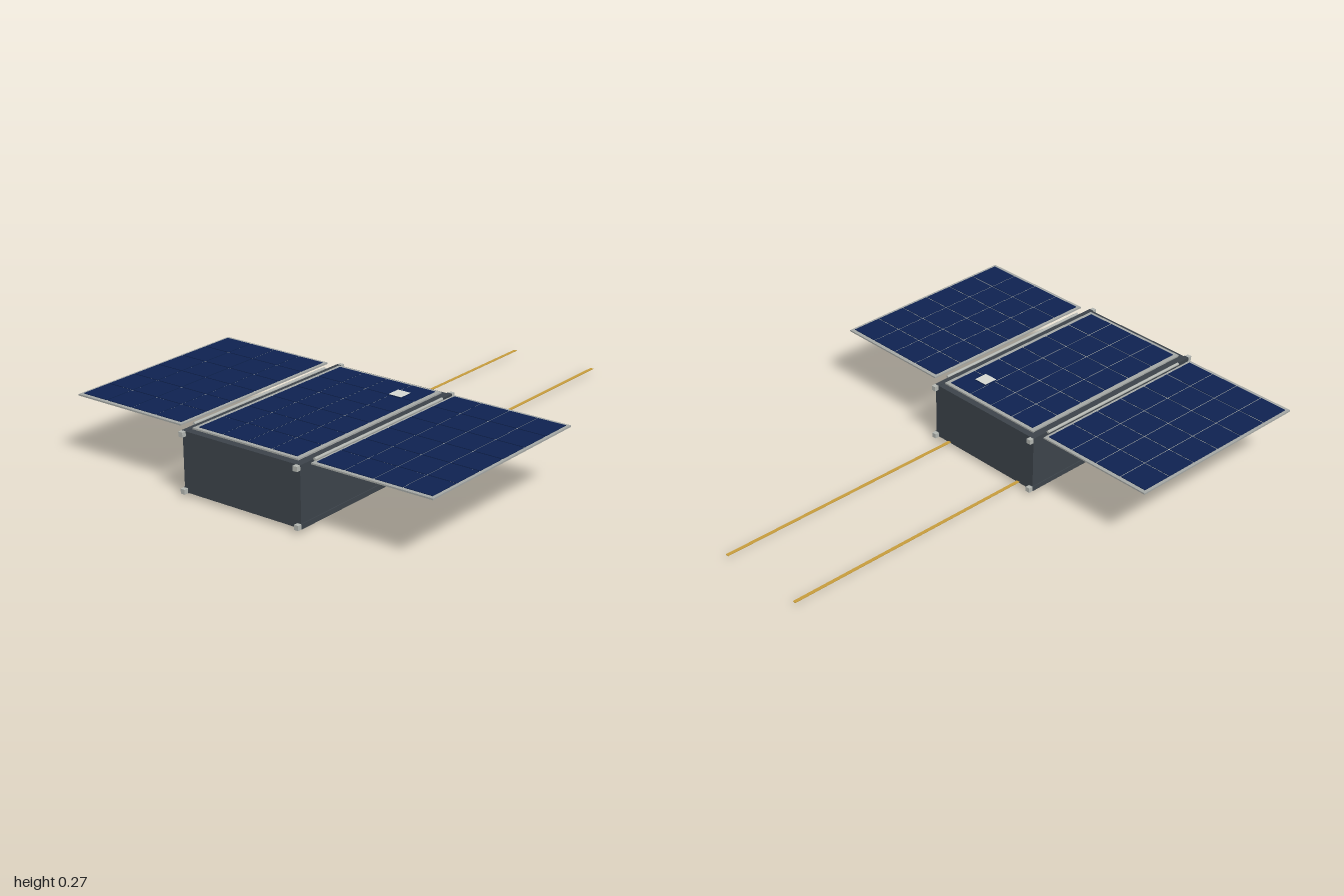
import * as THREE from 'three';

const mat = (name, color) => {
  const m = new THREE.MeshStandardMaterial({ color });
  m.name = name;
  return m;
};

export function createModel() {
  const model = new THREE.Group();
  model.name = 'smallSatellite';

  const darkGrey = mat('darkGreyBody', 0x3c434a);
  const silver = mat('silver', 0xb2b5b0);
  const panelGrey = mat('panelGrey', 0xa4a7a4);
  const navy = mat('navyCells', 0x0e2250);
  const gold = mat('gold', 0xc69c3c);
  const red = mat('redOrange', 0xd04a20);
  const white = mat('offWhite', 0xd4d6d0);

  const CX = -0.545; // middle of the body along x

  function box(parent, name, material, [w, h, d], [x, y, z]) {
    const mesh = new THREE.Mesh(new THREE.BoxGeometry(w, h, d), material);
    mesh.name = name;
    mesh.position.set(x, y, z);
    parent.add(mesh);
    return mesh;
  }

  function group(name) {
    const g = new THREE.Group();
    g.name = name;
    model.add(g);
    return g;
  }

  // Body with four long edge rails that stick out at both ends
  box(model, 'body', darkGrey, [0.87, 0.235, 0.54], [CX, 0.1325, 0]);
  const rails = group('rails');
  for (const z of [-0.263, 0.263]) {
    for (const y of [0.024, 0.242]) {
      box(rails, 'rail', darkGrey, [0.874, 0.02, 0.02], [CX, y, z]);
      for (const side of [-1, 1]) {
        box(rails, 'railTip', silver, [0.018, 0.019, 0.019], [CX + side * 0.446, y, z]);
      }
    }
  }

  // Solar panel: backing plate with a grid of thin cells
  function solarPanel(name, z, depth, rowPitch) {
    const g = group(name);
    const cols = 6, rows = 4, colPitch = 0.133, gap = 0.005;
    box(g, 'panelPlate', panelGrey, [0.824, 0.006, depth], [CX, 0.257, z]);
    for (let i = 0; i < cols; i++) {
      for (let j = 0; j < rows; j++) {
        box(g, 'solarCell', navy, [colPitch - gap, 0.003, rowPitch - gap],
          [CX + (i - (cols - 1) / 2) * colPitch, 0.261, z + (j - (rows - 1) / 2) * rowPitch]);
      }
    }
  }
  solarPanel('topPanel', 0, 0.486, 0.114);
  box(model, 'topPanelMount', panelGrey, [0.8, 0.006, 0.46], [CX, 0.252, 0]);

  // Folding wings and their hinges
  for (const side of [-1, 1]) {
    solarPanel(side > 0 ? 'frontWing' : 'backWing', side * 0.556, 0.512, 0.123);
    const hinge = new THREE.Mesh(new THREE.CylinderGeometry(0.006, 0.006, 0.735, 12), silver);
    hinge.name = 'hingeRod';
    hinge.rotation.z = Math.PI / 2;
    hinge.position.set(CX, 0.253, side * 0.278);
    model.add(hinge);
  }

  // Sun sensor on the top panel
  box(model, 'sensorBase', navy, [0.058, 0.007, 0.058], [-0.257, 0.264, 0.143]);
  box(model, 'sensorFace', white, [0.058, 0.001, 0.058], [-0.257, 0.268, 0.143]);

  // Two long tape antennas
  for (const z of [-0.1925, 0.1925]) {
    box(model, 'tapeAntenna', gold, [1.11, 0.002, 0.014], [0.445, 0.019, z]);
  }

  // Underside: patch array of four
  const array = group('patchArray');
  box(array, 'arrayPlate', silver, [0.356, 0.011, 0.356], [-0.712, 0.0105, 0]);
  for (const dx of [-0.084, 0.084]) {
    for (const z of [-0.084, 0.084]) {
      box(array, 'goldPatch', gold, [0.142, 0.005, 0.142], [-0.712 + dx, 0.0025, z]);
    }
  }

  // Underside: small single patch and red window
  const patch = group('singlePatch');
  box(patch, 'patchPlate', silver, [0.117, 0.011, 0.117], [-0.323, 0.0105, -0.14]);
  box(patch, 'goldPatch', gold, [0.082, 0.005, 0.082], [-0.323, 0.0025, -0.14]);
  box(model, 'redCover', red, [0.096, 0.008, 0.096], [-0.323, 0.012, 0.14]);

  return model;
}
